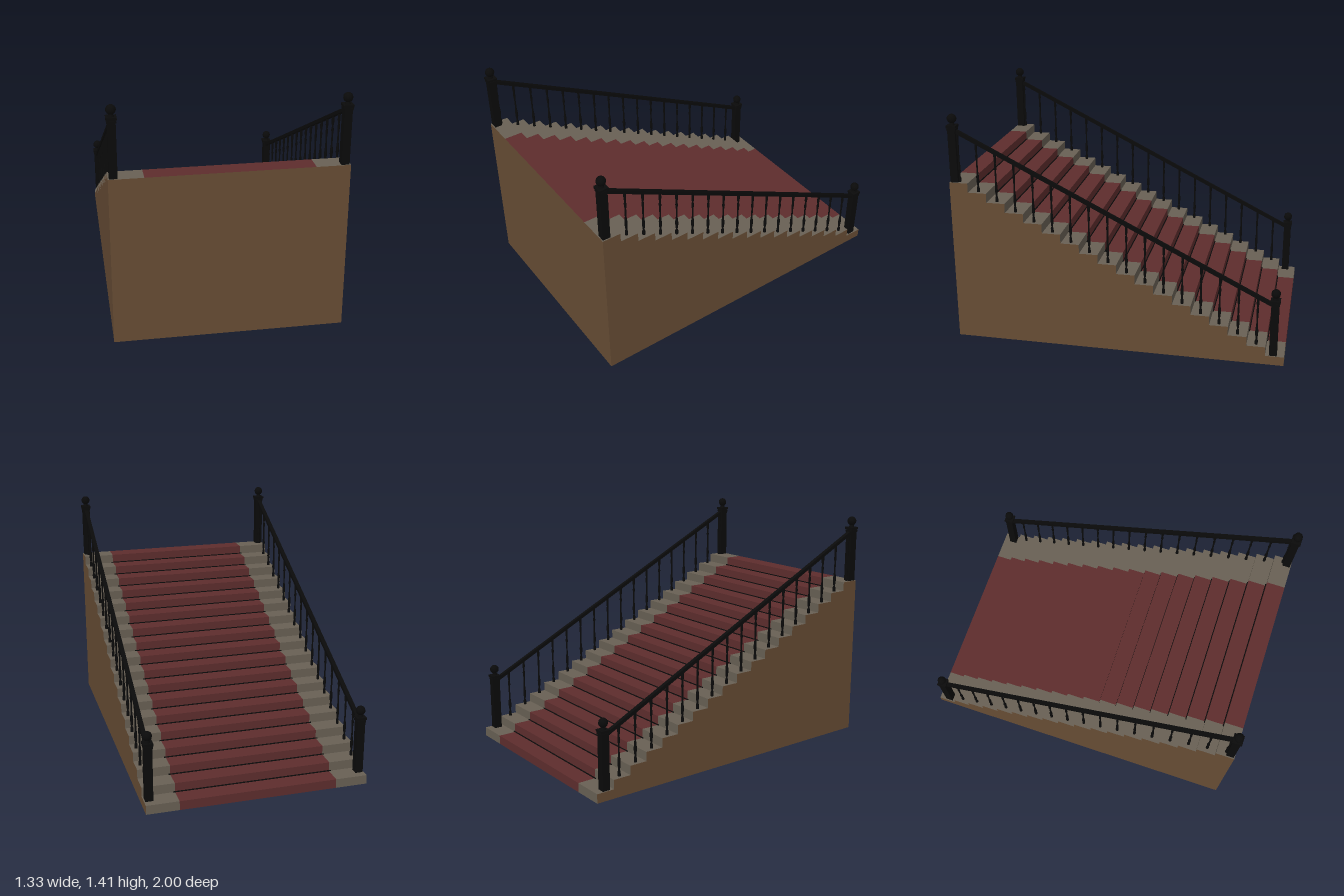
import * as THREE from 'three';
import { mergeGeometries } from 'three/addons/utils/BufferGeometryUtils.js';

const STEPS = 18, RISE = 1 / STEPS, RUN = 2 / STEPS;
const HALF = 0.663, CARPET = 0.47, RAIL_X = 0.633;

const mat = (name, color, side = THREE.FrontSide) => {
  const m = new THREE.MeshStandardMaterial({ color, side });
  m.name = name;
  return m;
};

export function createModel() {
  const wood = mat('brown wall', 0x664c34, THREE.DoubleSide);
  const stone = mat('grey stone', 0x686054, THREE.DoubleSide);
  const red = mat('red carpet', 0x5e2d2d, THREE.DoubleSide);
  const iron = mat('black iron', 0x0a0a0a);

  const model = new THREE.Group();
  model.name = 'staircase';
  const add = (parent, name, geometry, material, x = 0, y = 0, z = 0) => {
    const mesh = new THREE.Mesh(geometry, material);
    mesh.name = name;
    mesh.position.set(x, y, z);
    parent.add(mesh);
    return mesh;
  };

  // Stepped sheet of risers and treads between two x positions
  const steppedStrip = (x0, x1) => {
    const parts = [], w = x1 - x0, cx = (x0 + x1) / 2;
    for (let i = 0; i < STEPS; i++) {
      const z = -1 + i * RUN, y = i * RISE;
      parts.push(new THREE.PlaneGeometry(w, RISE).rotateY(Math.PI).translate(cx, y + RISE / 2, z));
      parts.push(new THREE.PlaneGeometry(w, RUN).rotateX(-Math.PI / 2).translate(cx, y + RISE, z + RUN / 2));
    }
    return mergeGeometries(parts);
  };
  add(model, 'carpet', steppedStrip(-CARPET, CARPET), red);
  add(model, 'stoneStepsLeft', steppedStrip(CARPET, HALF), stone);
  add(model, 'stoneStepsRight', steppedStrip(-HALF, -CARPET), stone);

  // Thin rods holding the carpet in each inner corner
  const rod = new THREE.CylinderGeometry(0.004, 0.004, 0.96, 6).rotateZ(Math.PI / 2);
  for (let i = 1; i < STEPS; i++)
    add(model, 'carpetRod', rod, iron, 0, i * RISE + 0.002, -1 + i * RUN - 0.002);

  // Walls, open underneath
  const outline = new THREE.Shape().moveTo(1, 0).lineTo(-1, 0);
  for (let i = 0; i < STEPS; i++) {
    outline.lineTo(-1 + i * RUN, (i + 1) * RISE);
    outline.lineTo(-1 + (i + 1) * RUN, (i + 1) * RISE);
  }
  const side = new THREE.ShapeGeometry(outline).rotateY(-Math.PI / 2);
  add(model, 'sideWallRight', side, wood, -HALF);
  add(model, 'sideWallLeft', side.clone().scale(-1, 1, 1), wood, HALF);
  add(model, 'frontWall', new THREE.PlaneGeometry(2 * HALF, 1), wood, 0, 0.5, 1);

  // Turned baluster
  const profile = [
    [0.009, 0], [0.009, 0.025], [0.005, 0.035], [0.009, 0.07], [0.009, 0.09], [0.005, 0.13],
    [0.005, 0.19], [0.008, 0.22], [0.005, 0.24], [0.008, 0.265], [0.008, 0.31],
  ].map(([r, y]) => new THREE.Vector2(r, y));
  const baluster = new THREE.LatheGeometry(profile, 8);

  // Newel post parts, measured from the tread
  const shaft = new THREE.BoxGeometry(0.046, 0.36, 0.046);
  const collar = new THREE.BoxGeometry(0.052, 0.012, 0.052);
  const cap = new THREE.BoxGeometry(0.058, 0.014, 0.058);
  const neck = new THREE.CylinderGeometry(0.012, 0.018, 0.02, 8);
  const ball = new THREE.SphereGeometry(0.028, 10, 8);

  const railY = z => 0.833 + 0.4985 * z;
  for (const s of [1, -1]) {
    const railing = new THREE.Group();
    railing.name = s > 0 ? 'railingLeft' : 'railingRight';
    railing.position.x = s * RAIL_X;
    model.add(railing);

    for (const [y, z] of [[RISE, -0.934], [0.992, 0.971]]) {
      const post = new THREE.Group();
      post.name = 'newelPost';
      post.position.set(0, y, z);
      railing.add(post);
      add(post, 'postShaft', shaft, iron, 0, 0.165);
      add(post, 'postCollar', collar, iron, 0, 0.328);
      add(post, 'postCap', cap, iron, 0, 0.345);
      add(post, 'postNeck', neck, iron, 0, 0.358);
      add(post, 'postBall', ball, iron, 0, 0.39);
    }

    for (let i = 1; i < STEPS; i++) {
      const z = -1 + (i + 0.5) * RUN, y = (i + 1) * RISE;
      add(railing, 'baluster', baluster, iron, 0, y, z).scale.y = (railY(z) - y) / 0.31;
    }

    // Sloping handrail between the posts
    const z0 = -0.925, z1 = 0.955, dy = railY(z1) - railY(z0);
    const rail = add(railing, 'handrail',
      new THREE.BoxGeometry(0.025, 0.02, Math.hypot(z1 - z0, dy)), iron,
      0, (railY(z0) + railY(z1)) / 2, (z0 + z1) / 2);
    rail.rotation.x = -Math.atan2(dy, z1 - z0);
  }
  return model;
}
